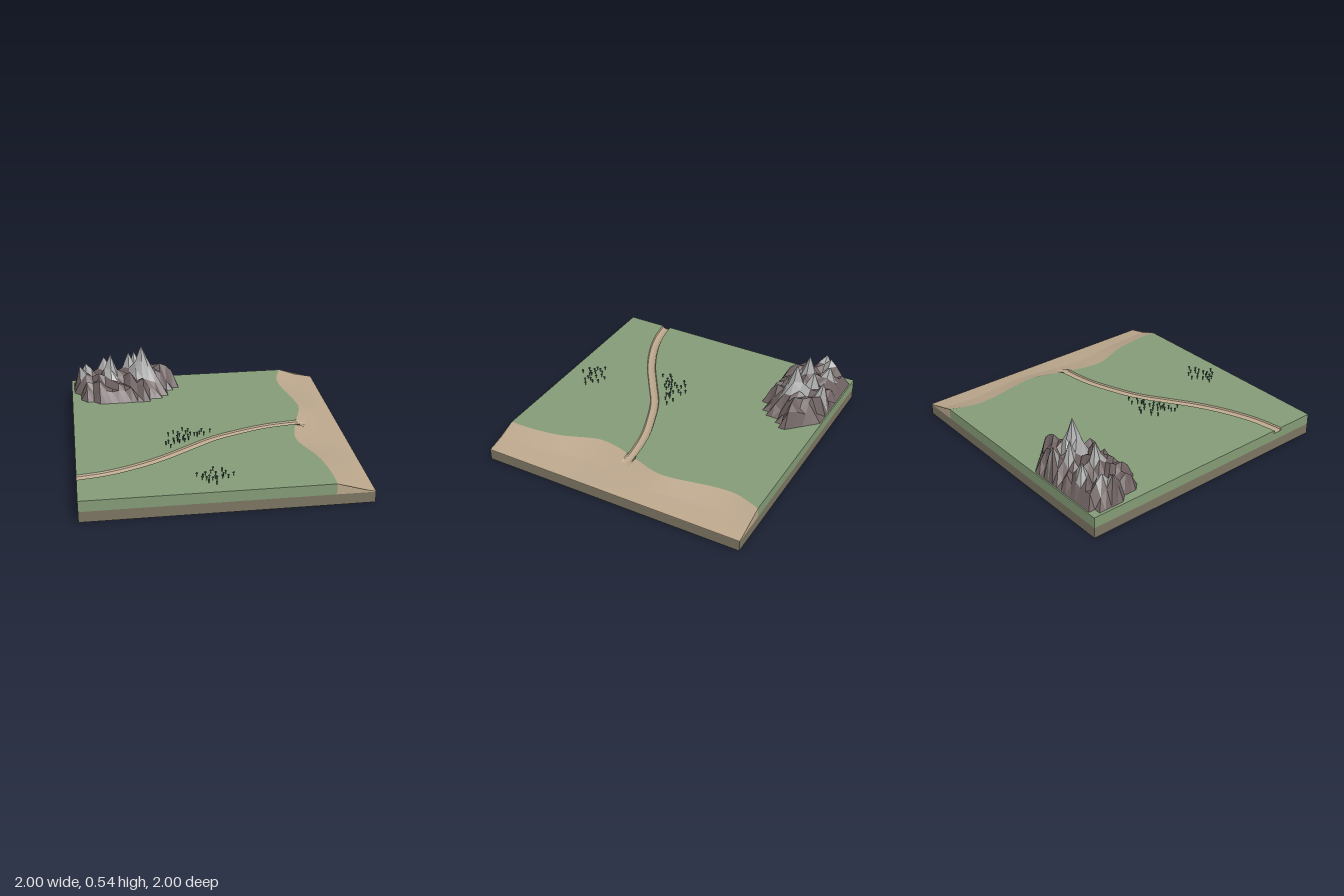
import * as THREE from 'three';

const TOP = 0.16, BASE = 0.08, FLOOR = 0.138;
const mat = (color, extra = {}) => new THREE.MeshStandardMaterial({ color, roughness: 0.9, ...extra });
const v2 = (list) => list.map(([x, y]) => new THREE.Vector2(x, y));

function add(parent, name, geometry, material) {
  const mesh = new THREE.Mesh(geometry, material);
  mesh.name = name;
  parent.add(mesh);
  return mesh;
}

// Upright slab from an outline of (x, z) points
function slab(points, bottom, top) {
  const g = new THREE.ExtrudeGeometry(new THREE.Shape(points), { depth: top - bottom, bevelEnabled: false });
  return g.rotateX(Math.PI / 2).translate(0, top, 0);
}

// Surface through a row of equal-length cross-sections, with optional end caps
function loft(sections, caps) {
  const n = sections[0].length, index = [];
  for (let i = 0; i < sections.length - 1; i++)
    for (let j = 0; j < n - 1; j++) {
      const a = i * n + j, b = a + n;
      index.push(a, b, a + 1, b, b + 1, a + 1);
    }
  if (caps) {
    const last = (sections.length - 1) * n;
    for (let j = 1; j < n - 1; j++) index.push(0, j, j + 1, last, last + j + 1, last + j);
  }
  const g = new THREE.BufferGeometry();
  g.setAttribute('position', new THREE.Float32BufferAttribute(sections.flat(2), 3));
  g.setIndex(index);
  const flat = g.toNonIndexed();
  flat.computeVertexNormals();
  return flat;
}

// Jagged height field; returns separate rock and snow triangles
function mountainGeometries() {
  // left and right end of each row, from back to front
  const rows = [[-0.83, -0.35], [-0.94, -0.29], [-0.98, -0.24], [-0.98, -0.18], [-0.98, -0.15], [-0.98, -0.19],
    [-0.93, -0.24], [-0.93, -0.25], [-0.93, -0.29], [-0.83, -0.38], [-0.61, -0.4]];
  const peaks = [[-0.44, -0.74, 0.54], [-0.69, -0.74, 0.48], [-0.54, -0.84, 0.45], [-0.48, -0.94, 0.42],
    [-0.93, -0.79, 0.37], [-0.88, -0.84, 0.37], [-0.74, -0.89, 0.4], [-0.3, -0.79, 0.36],
    [-0.55, -0.65, 0.36], [-0.35, -0.69, 0.33], [-0.79, -0.69, 0.34], [-0.24, -0.79, 0.34]];
  const dx = 0.83 / 17, dz = 0.049, x0 = -0.98, z0 = -0.99;
  let seed = 11;
  const rand = () => (seed = (seed * 16807) % 2147483647) / 2147483647;
  const inside = (i, j) => {
    const x = x0 + i * dx, r = rows[j];
    return j > 0 && j < 10 && x > r[0] + 0.02 && x < r[1] - 0.02;
  };
  const grid = rows.map((_, j) => Array.from({ length: 18 }, (_, i) => {
    const x = x0 + i * dx, z = z0 + j * dz, noise = rand();
    if (!inside(i, j)) return [x, TOP, z];
    const rim = [[1, 0], [-1, 0], [0, 1], [0, -1]].some(([a, b]) => !inside(i + a, j + b));
    let y = rim ? 0.2 + 0.09 * noise : 0.23 + 0.1 * noise;
    for (const [px, pz, py] of peaks) {
      const d = Math.hypot(x - px, z - pz);
      if (d < 0.036) y = Math.max(y, py - d * 0.3);
      else y = Math.max(y, py - d * 2.6);
    }
    return [x, y, z];
  }));
  const rock = [], snow = [];
  const tri = (a, b, c) => {
    const ys = [a[1], b[1], c[1]], max = Math.max(...ys);
    if (max <= TOP) return;
    const high = max > 0.36 && (ys[0] + ys[1] + ys[2]) / 3 > 0.3;
    (high ? snow : rock).push(...a, ...b, ...c);
  };
  for (let j = 0; j < 10; j++)
    for (let i = 0; i < 17; i++) {
      const a = grid[j][i], b = grid[j][i + 1], c = grid[j + 1][i], d = grid[j + 1][i + 1];
      tri(a, c, d);
      tri(a, d, b);
    }
  return [rock, snow].map((p) => {
    const g = new THREE.BufferGeometry();
    g.setAttribute('position', new THREE.Float32BufferAttribute(p, 3));
    g.computeVertexNormals();
    return g;
  });
}

export function createModel() {
  const root = new THREE.Group();
  root.name = 'landscape';
  const soil = mat(0x7b7462), grass = mat(0x839b76), sand = mat(0xbaa68c, { side: THREE.DoubleSide });

  // Soil slab, with a small green patch on its underside
  add(root, 'soilBase', new THREE.BoxGeometry(2, BASE - 0.001, 2).translate(0, BASE / 2 + 0.0005, 0), soil);
  const patch = v2([[-0.87, 0.46], [-0.87, 0.05], [-0.75, 0.05], [-0.75, 0.17], [-0.6, 0.17], [-0.6, 0.46]]);
  add(root, 'undersidePatch', slab(patch, 0, 0.002), grass);

  // Coast line and river line in (x, z)
  const coast = new THREE.SplineCurve(v2([[0.73, -1], [0.67, -0.82], [0.67, -0.67], [0.7, -0.5], [0.73, -0.33],
    [0.725, -0.2], [0.66, 0], [0.605, 0.2], [0.605, 0.35], [0.695, 0.6], [0.73, 0.85], [0.73, 1]])).getPoints(110);
  const river = new THREE.SplineCurve(v2([[-1, 0.675], [-0.8, 0.64], [-0.6, 0.57], [-0.4, 0.47], [-0.2, 0.34],
    [0, 0.21], [0.2, 0.125], [0.4, 0.06], [0.6, 0.027], [0.72, 0.02]])).getPoints(60);
  const halfWidth = river.map((p, i) => {
    const a = river[Math.max(i - 1, 0)], b = river[Math.min(i + 1, 60)];
    return (0.034 - 0.002 * (p.x + 1)) * Math.hypot(1, (b.y - a.y) / (b.x - a.x));
  });
  const bank = (side) => river.map((p, i) => new THREE.Vector2(p.x, p.y + side * halfWidth[i])).filter((p) => p.x < 0.64);

  // Grass: a lower layer under the river bed and two banks above it
  add(root, 'grassLowerLayer', slab([...v2([[-1, -1]]), ...coast, ...v2([[-1, 1]])], BASE, FLOOR - 0.002), grass);
  const north = [...v2([[-1, -1]]), ...coast.filter((p) => p.y < -0.01), ...bank(-1).reverse()];
  const south = [...bank(1), ...coast.filter((p) => p.y > 0.06), ...v2([[-1, 1]])];
  add(root, 'grassNorth', slab(north, FLOOR - 0.002, TOP), grass);
  add(root, 'grassSouth', slab(south, FLOOR - 0.002, TOP), grass);

  // Beach sloping down to the edge, dipped at the river mouth
  const slope = (u) => (u < 0.5 ? TOP - 0.1 * u : 0.11 - 0.05 * (u - 0.5));
  const beach = coast.map(({ x, y: z }) => [
    [x, BASE, z],
    ...[0, 0.12, 0.24, 0.37, 0.5, 0.75, 1].map((u) => {
      const px = x + (1 - x) * u;
      const dip = px < 0.73 && Math.abs(z - 0.022) < 0.031;
      return [px, dip ? Math.min(slope(u), FLOOR - 0.002) : slope(u), z];
    }),
    [1, BASE, z],
  ]);
  beach.forEach((s) => s.reverse());
  add(root, 'beach', loft(beach, true), sand);

  // River bed: steep banks and a shallow floor
  const profile = [[-1, TOP], [-0.85, 0.148], [-0.4, 0.141], [0, FLOOR], [0.4, 0.141], [0.85, 0.148], [1, TOP]];
  const bed = river.map((p, i) => profile.map(([s, y]) => {
    const ground = p.x > 0.655 ? slope((p.x - 0.655) / 0.345) + 0.001 : TOP;
    return [p.x, Math.min(y, ground), p.y + s * halfWidth[i]];
  }));
  bed.forEach((s) => s.reverse());
  add(root, 'riverBed', loft(bed, false), sand);

  // Mountain range with pale summits
  const [rock, snow] = mountainGeometries();
  add(root, 'mountainRock', rock, mat(0x6f6262, { flatShading: true, side: THREE.DoubleSide }));
  add(root, 'mountainSummits', snow, mat(0xababab, { flatShading: true, side: THREE.DoubleSide }));

  // Two groves of small trees, positions in hundredths
  const groves = {
    riverGrove: [[-21, 6], [-28, 10], [-32, 13], [-17, 8], [-25, 12], [-19, 11], [-7, 9], [-9, 13], [-1, 11], [-13, 15],
      [-16, 14], [-24, 15], [-26, 18], [-21, 18], [-18, 17], [-11, 15], [-6, 15], [-11, 17], [-26, 21], [-22, 21],
      [-18, 21], [-29, 22], [-26, 23], [-21, 24], [-33, 25], [-29, 26], [-25, 25], [-35, 27], [-32, 32]],
    meadowGrove: [[-7, 70], [-1, 72], [-9, 74], [-13, 76], [-6, 77], [1, 76], [-19, 77], [-15, 79], [-11, 81], [-7, 82],
      [-1, 79], [6, 79], [-13, 83], [-16, 82], [-9, 84], [-6, 83], [-2, 82], [2, 82], [-12, 87], [-7, 90]],
  };
  const trunkGeo = new THREE.CylinderGeometry(0.002, 0.0025, 0.024, 5).translate(0, 0.012, 0);
  const crownGeo = new THREE.IcosahedronGeometry(0.009, 0).scale(1, 0.75, 1).translate(0, 0.025, 0);
  const bark = mat(0x3b3a32), leaves = mat(0x24503e, { flatShading: true });
  for (const [name, spots] of Object.entries(groves)) {
    const grove = new THREE.Group();
    grove.name = name;
    root.add(grove);
    spots.forEach(([x, z], i) => {
      const tree = new THREE.Group();
      tree.name = 'tree';
      tree.position.set(x / 100, TOP, z / 100);
      tree.rotation.y = i * 1.3;
      add(tree, 'trunk', trunkGeo, bark);
      add(tree, 'crown', crownGeo, leaves);
      grove.add(tree);
    });
  }
  return root;
}
